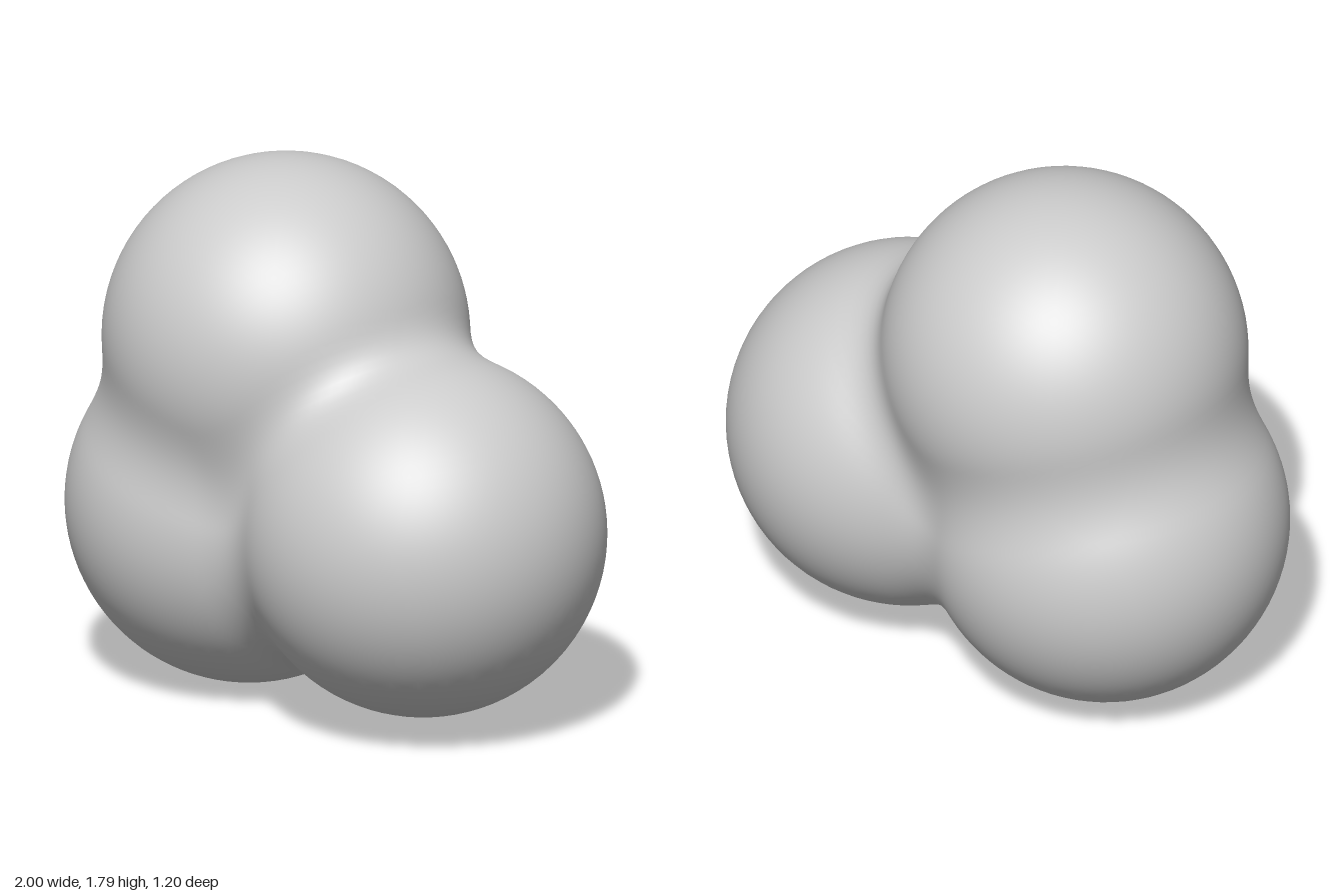
import * as THREE from 'three';
import { mergeVertices } from 'three/addons/utils/BufferGeometryUtils.js';

// The three lobes: x, y, radius (all centred on z = 0)
const LOBES = [
  [-0.4, 0.6, 0.6],
  [0.4, 0.65, 0.6],
  [-0.23, 1.19, 0.6],
];
const BLEND = 0.14;
const CORE = new THREE.Vector3(-0.08, 0.81, 0);

// Rounded union of two distances
function smoothMin(a, b) {
  const h = Math.max(BLEND - Math.abs(a - b), 0) / BLEND;
  return Math.min(a, b) - h * h * BLEND / 4;
}

function distance(p) {
  return LOBES
    .map(([x, y, r]) => Math.hypot(p.x - x, p.y - y, p.z) - r)
    .reduce(smoothMin);
}

// Push each point of a unit sphere out from the core to the blended surface
function blendedLobes() {
  const sphere = new THREE.IcosahedronGeometry(1, 24);
  sphere.deleteAttribute('uv');
  sphere.deleteAttribute('normal');
  const geometry = mergeVertices(sphere, 1e-5);
  const position = geometry.attributes.position;
  const dir = new THREE.Vector3();
  const p = new THREE.Vector3();
  for (let i = 0; i < position.count; i++) {
    dir.fromBufferAttribute(position, i).normalize();
    let near = 0, far = 2;
    for (let step = 0; step < 24; step++) {
      const mid = (near + far) / 2;
      p.copy(CORE).addScaledVector(dir, mid);
      if (distance(p) < 0) near = mid; else far = mid;
    }
    position.setXYZ(i, p.x, p.y, p.z);
  }
  geometry.computeVertexNormals();
  return geometry;
}

export function createModel() {
  const group = new THREE.Group();
  group.name = 'blendedSpheres';
  const body = new THREE.Mesh(
    blendedLobes(),
    new THREE.MeshStandardMaterial({ color: 0xcccccc })
  );
  body.name = 'threeLobedBody';
  group.add(body);
  return group;
}
